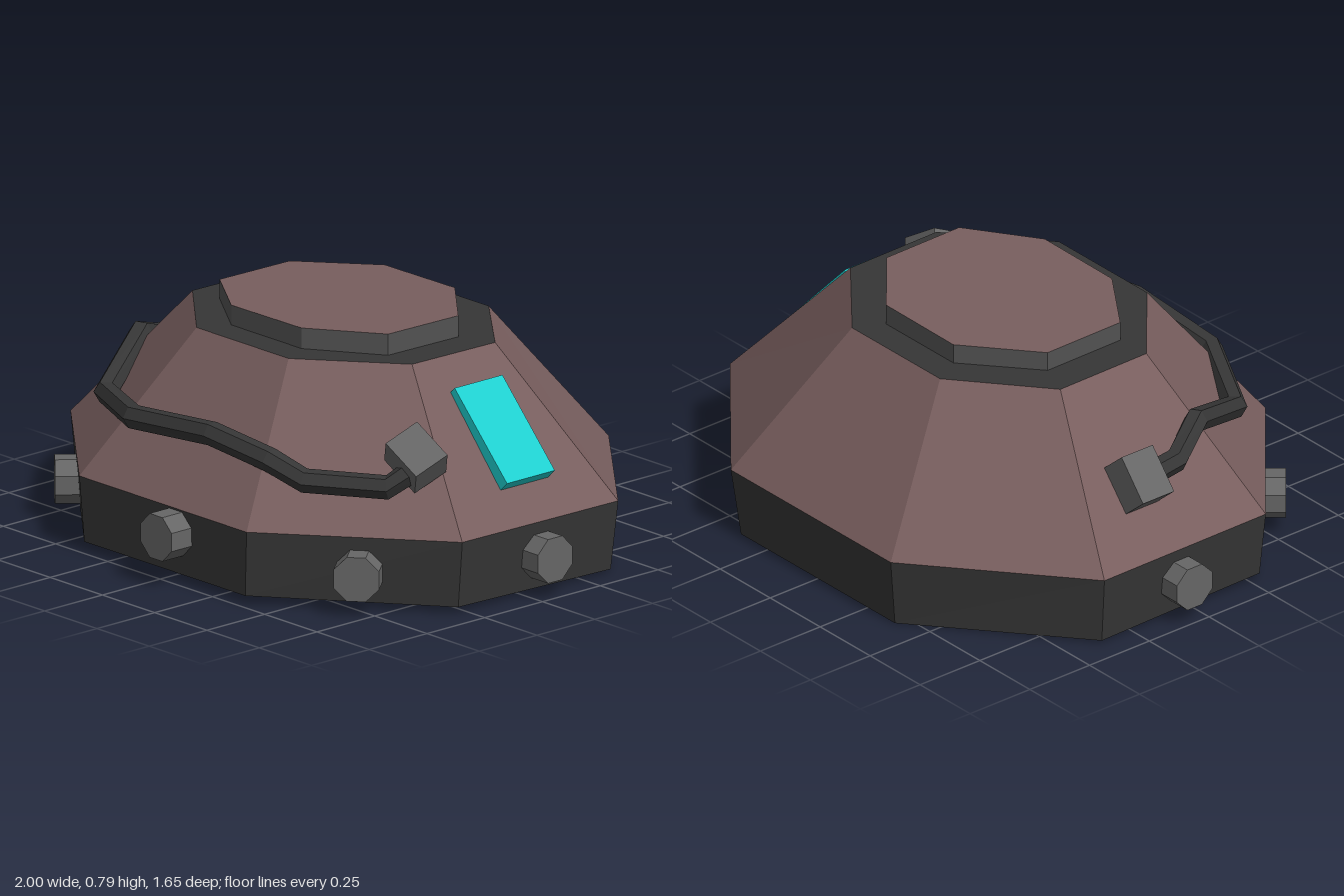
import * as THREE from 'three';

const mat = (color) => new THREE.MeshStandardMaterial({ color, flatShading: true });

// Octagonal ring, clockwise from above; y is the height and the rings lean by `lean` per unit of z
function octagon(side, corner, back, backCorner, frontCorner, front, y, lean = 0, roll = 0) {
  return [
    [-corner, back], [corner, back], [side, backCorner], [side, frontCorner],
    [corner, front], [-corner, front], [-side, frontCorner], [-side, backCorner],
  ].map(([x, z]) => new THREE.Vector3(x, y + lean * z + roll * x, z));
}

// Ring collapsed to its centre, for closing a cap
function centreOf(ring) {
  const c = new THREE.Vector3();
  ring.forEach((p) => c.addScaledVector(p, 1 / ring.length));
  return ring.map(() => c);
}

// Faces between consecutive rings
function loft(...rings) {
  const pts = [];
  for (let r = 0; r + 1 < rings.length; r++) {
    const a = rings[r], b = rings[r + 1];
    for (let i = 0; i < a.length; i++) {
      const j = (i + 1) % a.length;
      pts.push(a[i], b[i], a[j], b[i], b[j], a[j]);
    }
  }
  const g = new THREE.BufferGeometry().setFromPoints(pts);
  g.computeVertexNormals();
  return g;
}

// Straight-segment path with exact corners
class Polyline extends THREE.Curve {
  constructor(points) { super(); this.points = points; }
  getPoint(t, target = new THREE.Vector3()) {
    const n = this.points.length - 1;
    const i = Math.min(Math.floor(t * n + 1e-9), n - 1);
    return target.lerpVectors(this.points[i], this.points[i + 1], t * n - i);
  }
  getPointAt(u, target) { return this.getPoint(u, target); }
  getTangentAt(u, target) { return this.getTangent(u, target); }
}

export function createModel() {
  const model = new THREE.Group();
  const brown = mat(0x785e5e), dark = mat(0x363636), steel = mat(0x666666);
  const grey = mat(0x525252), cyan = mat(0x1fcfcf);

  const add = (name, geometry, material, position = [0, 0, 0]) => {
    const mesh = new THREE.Mesh(geometry, material);
    mesh.name = name;
    mesh.position.set(...position);
    model.add(mesh);
    return mesh;
  };

  // Main outlines, from the underside to the top
  const recessFloor = octagon(0.5, 0.2, -0.46, -0.22, 0.13, 0.37, 0.1, 0.02);
  const recessRim = octagon(0.5, 0.2, -0.46, -0.22, 0.13, 0.37, 0.016, 0.02);
  const base = octagon(0.912, 0.385, -0.8, -0.375, 0.285, 0.73, 0.016, 0.02);
  const shoulder = octagon(0.937, 0.4, -0.83, -0.385, 0.29, 0.738, 0.245, 0.007);
  const collarOuter = octagon(0.525, 0.22, -0.473, -0.225, 0.135, 0.393, 0.715, 0.01);
  const discLow = octagon(0.403, 0.168, -0.374, -0.176, 0.128, 0.29, 0.715, 0.01);
  const discHigh = octagon(0.403, 0.168, -0.374, -0.176, 0.128, 0.29, 0.783, 0.01, 0.008);

  // Hull
  add('recessFloor', loft(centreOf(recessFloor), recessFloor), grey);
  add('skirt', loft(recessFloor, recessRim, base, shoulder), dark);
  add('slopedHull', loft(shoulder, collarOuter), brown);
  add('collar', loft(collarOuter, discLow), dark);
  add('hatchRim', loft(discLow, discHigh), grey);
  add('hatchTop', loft(discHigh, centreOf(discHigh)), brown);

  // Bolts around the skirt: position and outward direction in x, z
  const bolt = new THREE.CylinderGeometry(0.08, 0.08, 0.12, 8);
  bolt.rotateY(Math.PI / 8).rotateX(Math.PI / 2);
  const bolts = [
    [0.06, 0.17, 0.762, 0, 1],
    [0.69, 0.13, 0.515, 0.647, 0.762],
    [-0.67, 0.13, 0.52, -0.647, 0.762],
    [0.94, 0.13, -0.055, 1, 0],
    [-0.94, 0.13, -0.06, -1, 0],
  ];
  for (const [x, y, z, dx, dz] of bolts) {
    add('bolt', bolt, steel, [x, y, z]).rotation.y = Math.atan2(dx, dz);
  }

  // Window panel lying on the side slope
  const panel = add('windowPanel', new THREE.BoxGeometry(0.363, 0.05, 0.207), cyan,
    [0.734, 0.492, -0.061]);
  panel.rotation.z = -0.808;

  // Bent pipe around the front
  const path = [
    [-0.8, 0.46, -0.12], [-0.8, 0.48, 0.03], [-0.72, 0.54, 0.18], [-0.58, 0.43, 0.46],
    [-0.27, 0.455, 0.62], [0.1, 0.485, 0.615], [0.36, 0.455, 0.6], [0.48, 0.405, 0.56],
    [0.7, 0.4, 0.4], [0.75, 0.46, 0.32],
  ].map((p) => new THREE.Vector3(...p));
  add('pipe', new THREE.TubeGeometry(new Polyline(path), path.length - 1, 0.04, 6), dark);

  // Blocks where the pipe ends enter the hull
  const leftBlock = add('pipeBlock', new THREE.BoxGeometry(0.155, 0.11, 0.13), steel,
    [0.737, 0.49, 0.31]);
  const along = new THREE.Vector3(0.83, -0.55, -0.1).normalize();
  const across = new THREE.Vector3(-0.16, -0.41, 0.9);
  const out = across.clone().cross(along).normalize();
  across.crossVectors(along, out);
  leftBlock.quaternion.setFromRotationMatrix(new THREE.Matrix4().makeBasis(along, out, across));

  const rightBlock = add('pipeBlock', new THREE.BoxGeometry(0.165, 0.12, 0.13), steel,
    [-0.81, 0.47, -0.135]);
  rightBlock.rotation.z = 0.86;

  return model;
}
